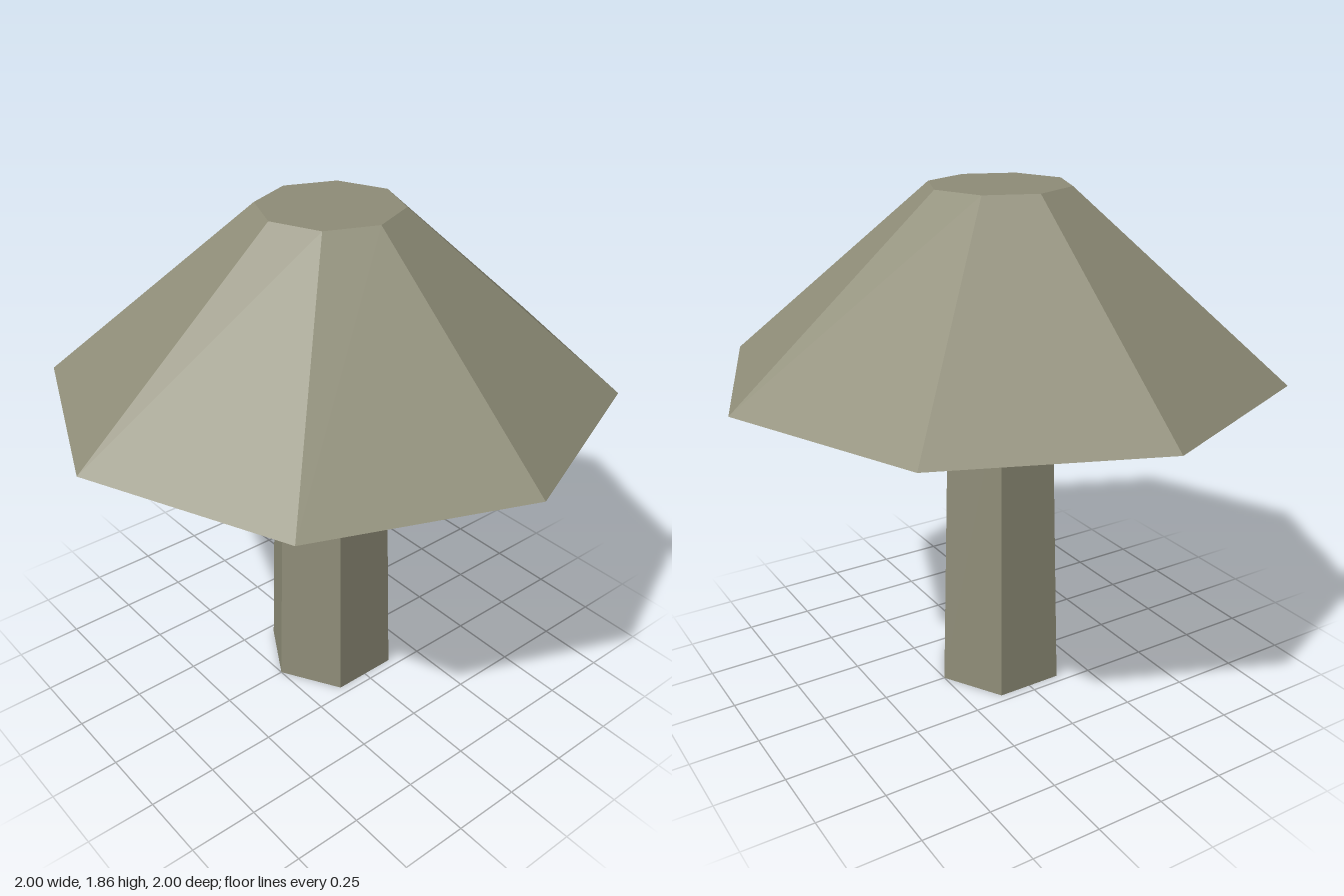
import * as THREE from 'three';

export function createModel() {
  const group = new THREE.Group();
  const greyOlive = new THREE.MeshStandardMaterial({ color: 0x8f8d78, flatShading: true });
  greyOlive.name = 'greyOlive';

  // Tapered prism standing between two heights, with a corner facing +z
  function addPrism(name, topRadius, bottomRadius, y0, y1, sides) {
    const geometry = new THREE.CylinderGeometry(topRadius, bottomRadius, y1 - y0, sides);
    geometry.translate(0, (y0 + y1) / 2, 0);
    const mesh = new THREE.Mesh(geometry, greyOlive);
    mesh.name = name;
    group.add(mesh);
  }

  addPrism('stem', 0.21, 0.25, 0, 1.22, 6);
  addPrism('cap', 0.25, 1, 1.22, 1.86, 8);

  return group;
}
